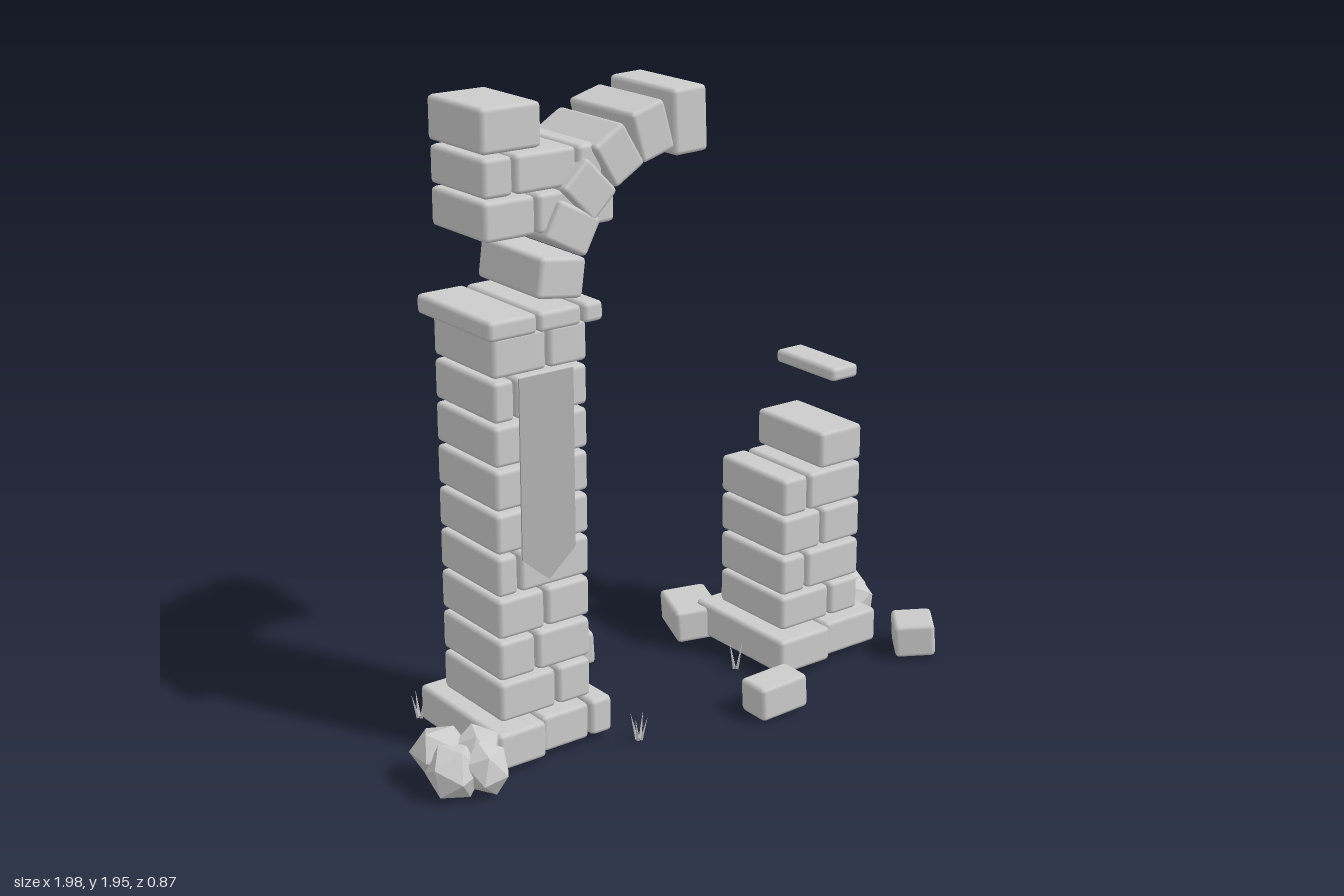
import * as THREE from 'three';
import { RoundedBoxGeometry } from 'three/addons/geometries/RoundedBoxGeometry.js';

const rad = THREE.MathUtils.degToRad;

export function createModel() {
  const model = new THREE.Group();
  model.name = 'ruinedArch';
  const stone = new THREE.MeshStandardMaterial({ color: 0xcccccc });
  stone.name = 'stone';
  const rockStone = new THREE.MeshStandardMaterial({ color: 0xcccccc, flatShading: true });
  rockStone.name = 'rock';
  const cloth = new THREE.MeshStandardMaterial({ color: 0xb2b2b2, side: THREE.DoubleSide });
  cloth.name = 'cloth';

  const group = (name) => {
    const g = new THREE.Group();
    g.name = name;
    model.add(g);
    return g;
  };

  // One chamfered stone block
  const block = (parent, name, size, pos, rot = [0, 0, 0]) => {
    const mesh = new THREE.Mesh(new RoundedBoxGeometry(...size, 1, 0.014), stone);
    mesh.name = name;
    mesh.position.set(...pos);
    mesh.rotation.set(...rot.map(rad));
    parent.add(mesh);
  };

  // A course of blocks: y range, z range and a list of [x0, x1]
  const course = (parent, name, [y0, y1], [z0, z1], spans) => {
    for (const [x0, x1] of spans) {
      block(parent, name, [x1 - x0, y1 - y0, z1 - z0], [(x0 + x1) / 2, (y0 + y1) / 2, (z0 + z1) / 2]);
    }
  };
  const shaft = [-0.145, 0.172];
  const upper = [-0.135, 0.145];

  // Tall pillar: base, alternating courses, cap
  const tall = group('tallPillar');
  course(tall, 'baseBlock', [0.03, 0.145], [-0.21, 0.23], [[-0.755, -0.59]]);
  course(tall, 'baseBlock', [0.03, 0.145], [-0.19, 0.205], [[-0.585, -0.42], [-0.41, -0.335]]);
  const splits = [-0.51, -0.58, -0.545, -0.635, -0.51, -0.58, -0.51, -0.635, -0.525];
  splits.forEach((s, i) => {
    const y = 0.15 + i * 0.1315;
    course(tall, 'shaftBlock', [y, y + 0.122], shaft, [[-0.708, s - 0.005], [s + 0.005, -0.39]]);
  });
  course(tall, 'capBlock', [1.322, 1.382], [-0.18, 0.205], [[-0.74, -0.58], [-0.573, -0.43], [-0.42, -0.355]]);

  // Remaining wall above the arch
  const wall = group('upperWall');
  course(wall, 'wallBlock', [1.585, 1.7], upper, [[-0.708, -0.54], [-0.53, -0.27]]);
  course(wall, 'wallBlock', [1.707, 1.82], upper, [[-0.708, -0.612], [-0.602, -0.4], [-0.393, -0.31]]);
  course(wall, 'wallBlock', [1.83, 1.96], upper, [[-0.712, -0.515]]);

  // Broken half arch: x, y, tilt, radial length
  const arch = group('arch');
  [
    [-0.468, 1.455, -8, 0.155], [-0.425, 1.59, -28, 0.155], [-0.366, 1.692, -46, 0.15],
    [-0.265, 1.778, -59, 0.15], [-0.147, 1.832, -74, 0.155], [-0.013, 1.848, -88, 0.195],
  ].forEach(([x, y, tilt, length]) => block(arch, 'archStone', [length, 0.12, 0.315], [x, y, 0.01], [0, 0, tilt]));

  // Short pillar with a loose slab above it
  const short = group('shortPillar');
  course(short, 'baseBlock', [0.03, 0.145], [-0.21, 0.23], [[0.31, 0.515]]);
  course(short, 'baseBlock', [0.03, 0.145], [-0.19, 0.205], [[0.52, 0.735]]);
  course(short, 'shaftBlock', [0.15, 0.262], shaft, [[0.36, 0.555], [0.565, 0.68]]);
  course(short, 'shaftBlock', [0.27, 0.395], shaft, [[0.36, 0.455], [0.465, 0.68]]);
  course(short, 'shaftBlock', [0.405, 0.53], shaft, [[0.36, 0.515], [0.525, 0.68]]);
  course(short, 'shaftBlock', [0.538, 0.66], shaft, [[0.36, 0.457], [0.467, 0.68]]);
  course(short, 'shaftBlock', [0.667, 0.787], shaft, [[0.51, 0.68]]);
  course(short, 'looseSlab', [0.935, 0.98], upper, [[0.575, 0.682]]);

  // Fallen blocks: x, z, width, depth, turn, tilt
  const fallen = group('fallenBlocks');
  [
    [-0.123, -0.33, 0.115, 0.205, -16, 3], [0.325, -0.255, 0.155, 0.21, -22, 4],
    [0.893, -0.253, 0.155, 0.14, 42, 3], [0.805, 0.31, 0.13, 0.15, -38, 4],
    [0.16, 0.373, 0.175, 0.115, -2, 3],
  ].forEach(([x, z, w, d, turn, tilt]) => block(fallen, 'fallenBlock', [w, 0.11, d], [x, 0.075, z], [0, turn, tilt]));

  // Faceted rocks: x, y, z, radius
  const rocks = group('rocks');
  [
    [-0.905, 0.115, 0.145, 0.09], [-0.915, 0.09, 0.235, 0.088], [-0.82, 0.1, 0.2, 0.092],
    [-0.83, 0.09, 0.275, 0.083], [0.845, 0.09, -0.085, 0.09], [0.812, 0.085, 0.01, 0.082],
  ].forEach(([x, y, z, r], i) => {
    const rock = new THREE.Mesh(new THREE.IcosahedronGeometry(r, 0), rockStone);
    rock.name = 'rock';
    rock.position.set(x, y, z);
    rock.rotation.set(i * 0.7, i * 1.3, i * 0.4);
    rock.scale.y = 0.85;
    rocks.add(rock);
  });

  // Grass tufts of thin leaning blades
  const grass = group('grass');
  [[-0.74, -0.24], [-0.295, 0.285], [0.605, -0.395], [0.25, 0.075]].forEach(([x, z], t) => {
    for (let i = 0; i < 4; i++) {
      const a = i * 1.6 + t;
      const blade = new THREE.Mesh(new THREE.ConeGeometry(0.006, 0.085, 4), rockStone);
      blade.name = 'grassBlade';
      blade.position.set(x + 0.018 * Math.cos(a), 0.06, z + 0.018 * Math.sin(a));
      blade.rotation.set(0.25 * Math.sin(a), 0, -0.25 * Math.cos(a));
      grass.add(blade);
    }
  });

  // Pointed hanging banner
  const outline = new THREE.Shape([
    [-0.64, 1.2], [-0.64, 0.655], [-0.548, 0.575], [-0.455, 0.655], [-0.455, 1.2],
  ].map(([x, y]) => new THREE.Vector2(x, y)));
  const banner = new THREE.Mesh(new THREE.ExtrudeGeometry(outline, { depth: 0.005, bevelEnabled: false }), cloth);
  banner.name = 'banner';
  banner.position.z = 0.19;
  model.add(banner);

  return model;
}
